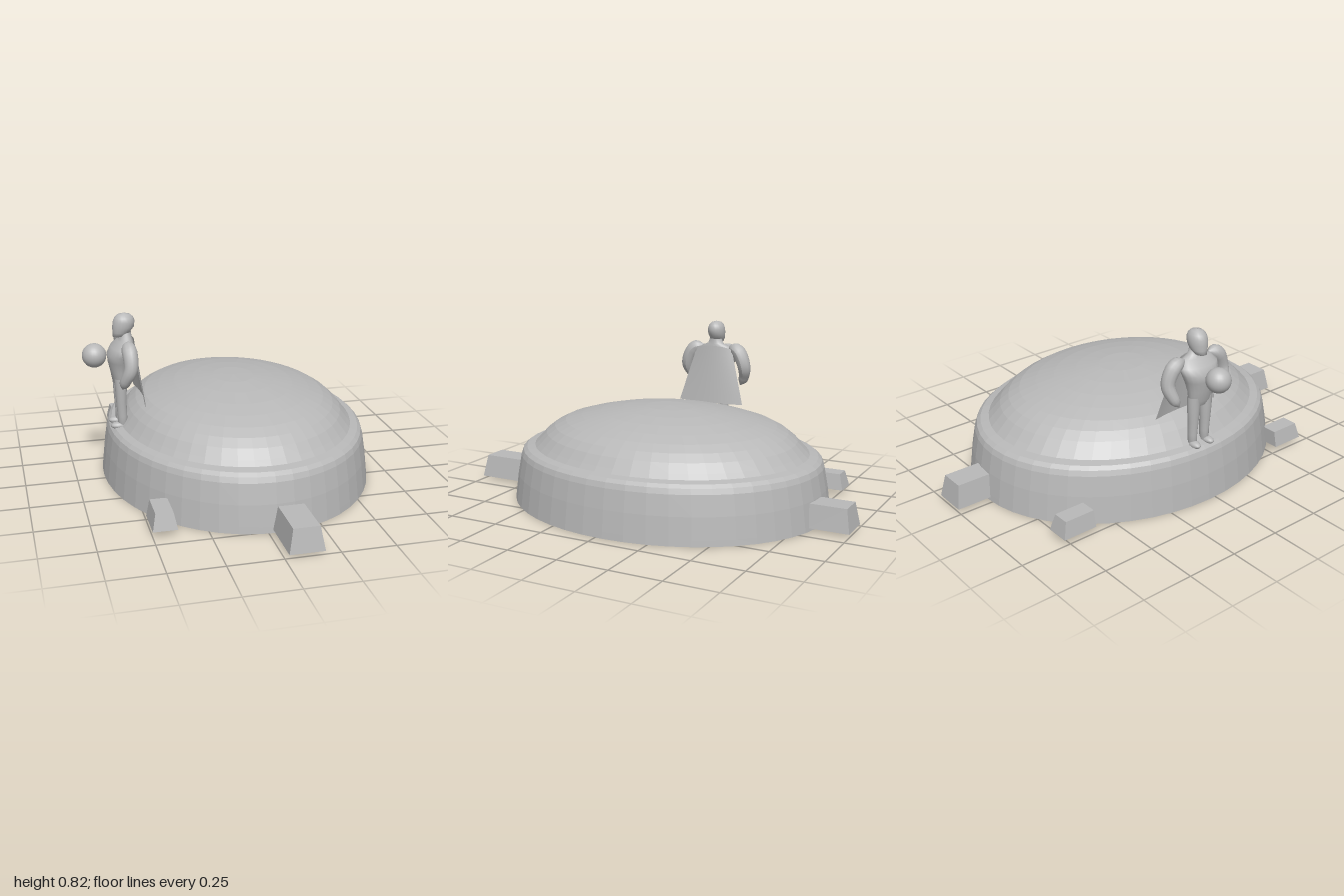
import * as THREE from 'three';

const stone = new THREE.MeshStandardMaterial({ color: 0xb8b8b8, side: THREE.DoubleSide, flatShading: true });
stone.name = 'grey';
const smooth = new THREE.MeshStandardMaterial({ color: 0xb8b8b8, side: THREE.DoubleSide });
smooth.name = 'smooth grey';

function add(group, name, geometry, material = smooth) {
  const mesh = new THREE.Mesh(geometry, material);
  mesh.name = name;
  group.add(mesh);
  return mesh;
}

// Surface through elliptical rings, each [y, centreX, radiusX, radiusZ]
function loft(rings, sides = 20) {
  const pos = [], index = [];
  rings.forEach(([y, cx, rx, rz], j) => {
    for (let i = 0; i < sides; i++) {
      const a = (i / sides) * Math.PI * 2;
      pos.push(cx + Math.cos(a) * rx, y, Math.sin(a) * rz);
      if (j === 0) continue;
      const n = (i + 1) % sides, lo = (j - 1) * sides, hi = j * sides;
      index.push(lo + i, hi + i, hi + n, lo + i, hi + n, lo + n);
    }
  });
  const g = new THREE.BufferGeometry();
  g.setAttribute('position', new THREE.Float32BufferAttribute(pos, 3));
  g.setIndex(index);
  g.computeVertexNormals();
  return g;
}

// Tube along a curve whose radius follows a list of values
function taperedTube(points, radii) {
  const curve = new THREE.CatmullRomCurve3(points.map(p => new THREE.Vector3(...p)));
  const steps = 20, sides = 12;
  const g = new THREE.TubeGeometry(curve, steps, 1, sides);
  const p = g.attributes.position, v = new THREE.Vector3();
  for (let i = 0; i < p.count; i++) {
    const t = Math.floor(i / (sides + 1)) / steps;
    const f = t * (radii.length - 1), k = Math.min(Math.floor(f), radii.length - 2);
    const r = THREE.MathUtils.lerp(radii[k], radii[k + 1], f - k);
    const c = curve.getPointAt(t);
    v.fromBufferAttribute(p, i).sub(c).multiplyScalar(r).add(c);
    p.setXYZ(i, v.x, v.y, v.z);
  }
  g.computeVertexNormals();
  return g;
}

// Block with sloping sides and an open underside; its outer end slopes too
function block(x, width, top, y0, y1, inner, outer) {
  const end = outer - Math.sign(outer) * 0.02;
  const rect = (w, y, z) => [[x - w, y, inner], [x + w, y, inner], [x + w, y, z], [x - w, y, z]];
  const pts = [...rect(width, y0, outer), ...rect(top, y1, end)];
  const g = new THREE.BufferGeometry();
  g.setAttribute('position', new THREE.Float32BufferAttribute(pts.flat(), 3));
  const index = [4, 6, 5, 4, 7, 6];
  for (let i = 0; i < 4; i++) {
    const n = (i + 1) % 4;
    index.push(i, i + 4, n + 4, i, n + 4, n);
  }
  if (outer < 0) index.reverse();
  g.setIndex(index);
  g.computeVertexNormals();
  return g;
}

function makeFigure() {
  const figure = new THREE.Group();
  figure.name = 'figure';
  figure.position.z = -0.033;

  add(figure, 'torso', loft([
    [0.46, -0.522, 0.02, 0.045], [0.49, -0.523, 0.034, 0.062], [0.54, -0.522, 0.044, 0.066],
    [0.59, -0.521, 0.056, 0.082], [0.625, -0.52, 0.06, 0.098], [0.66, -0.505, 0.055, 0.105],
    [0.69, -0.49, 0.036, 0.08], [0.705, -0.487, 0.028, 0.042], [0.73, -0.487, 0.026, 0.032],
  ]));
  add(figure, 'head', loft([
    [0.703, -0.525, 0.002, 0.002], [0.71, -0.522, 0.028, 0.025], [0.73, -0.507, 0.041, 0.038],
    [0.755, -0.498, 0.052, 0.043], [0.78, -0.494, 0.052, 0.044], [0.8, -0.493, 0.045, 0.038],
    [0.814, -0.493, 0.03, 0.025], [0.821, -0.493, 0.001, 0.001],
  ]));

  for (const s of [1, -1]) {
    add(figure, 'arm', taperedTube(
      [[-0.495, 0.69, s * 0.07], [-0.49, 0.67, s * 0.125], [-0.49, 0.59, s * 0.162], [-0.515, 0.53, s * 0.15], [-0.528, 0.485, s * 0.125]],
      [0.004, 0.032, 0.037, 0.036, 0.034, 0.032, 0.028, 0.025, 0.002]));
    const leg = add(figure, 'leg', loft([
      [0.25, -0.52, 0.003, 0.003], [0.275, -0.52, 0.024, 0.022], [0.32, -0.52, 0.023, 0.022],
      [0.39, -0.523, 0.025, 0.026], [0.45, -0.523, 0.028, 0.03], [0.51, -0.523, 0.03, 0.03],
    ], 14));
    leg.position.z = s * 0.036;
    const foot = add(figure, 'foot', new THREE.SphereGeometry(1, 14, 10));
    foot.scale.set(0.038, 0.017, 0.022);
    foot.position.set(-0.54, 0.273, s * 0.04);
  }

  // Cape: a bowed sheet that flares towards the hem
  const cape = new THREE.PlaneGeometry(2, 1, 12, 6);
  const p = cape.attributes.position;
  for (let i = 0; i < p.count; i++) {
    const u = p.getX(i), d = 0.5 - p.getY(i);
    const bow = 0.018 * (1 - u * u);
    p.setXYZ(i, -0.468 + 0.038 * d + bow, 0.695 - 0.295 * d - 0.015 * u * u * (1 - d), -u * (0.1 + 0.08 * d));
  }
  cape.computeVertexNormals();
  add(figure, 'cape', cape);

  const ball = add(figure, 'ball', new THREE.SphereGeometry(0.058, 24, 16));
  ball.position.set(-0.64, 0.622, 0);
  return figure;
}

export function createModel() {
  const model = new THREE.Group();

  // Hollow oval dome with a stepped rim
  const profile = [
    [1, 0], [0.995, 0.03], [0.978, 0.13], [0.955, 0.225], [0.942, 0.25], [0.918, 0.265],
    [0.866, 0.273], [0.838, 0.295], [0.79, 0.335], [0.735, 0.368], [0.665, 0.396],
    [0.56, 0.421], [0.44, 0.443], [0.3, 0.46], [0.15, 0.472], [0, 0.475],
  ].map(([r, y]) => new THREE.Vector2(r, y));
  const dome = add(model, 'dome', new THREE.LatheGeometry(profile, 48), stone);
  dome.scale.set(0.654, 1, 0.8);
  dome.position.set(0.039, 0, -0.035);

  // Wedge blocks around the foot of the wall
  add(model, 'largeFrontBlock', block(0.1, 0.08, 0.06, 0.015, 0.125, 0.76, 1), stone);
  add(model, 'largeBackBlock', block(0.1, 0.08, 0.06, 0.015, 0.125, -0.805, -1), stone);
  add(model, 'smallFrontBlock', block(-0.445, 0.056, 0.04, 0.03, 0.108, 0.52, 0.69), stone);
  add(model, 'smallBackBlock', block(-0.445, 0.056, 0.04, 0.03, 0.108, -0.61, -0.78), stone);

  model.add(makeFigure());
  return model;
}
